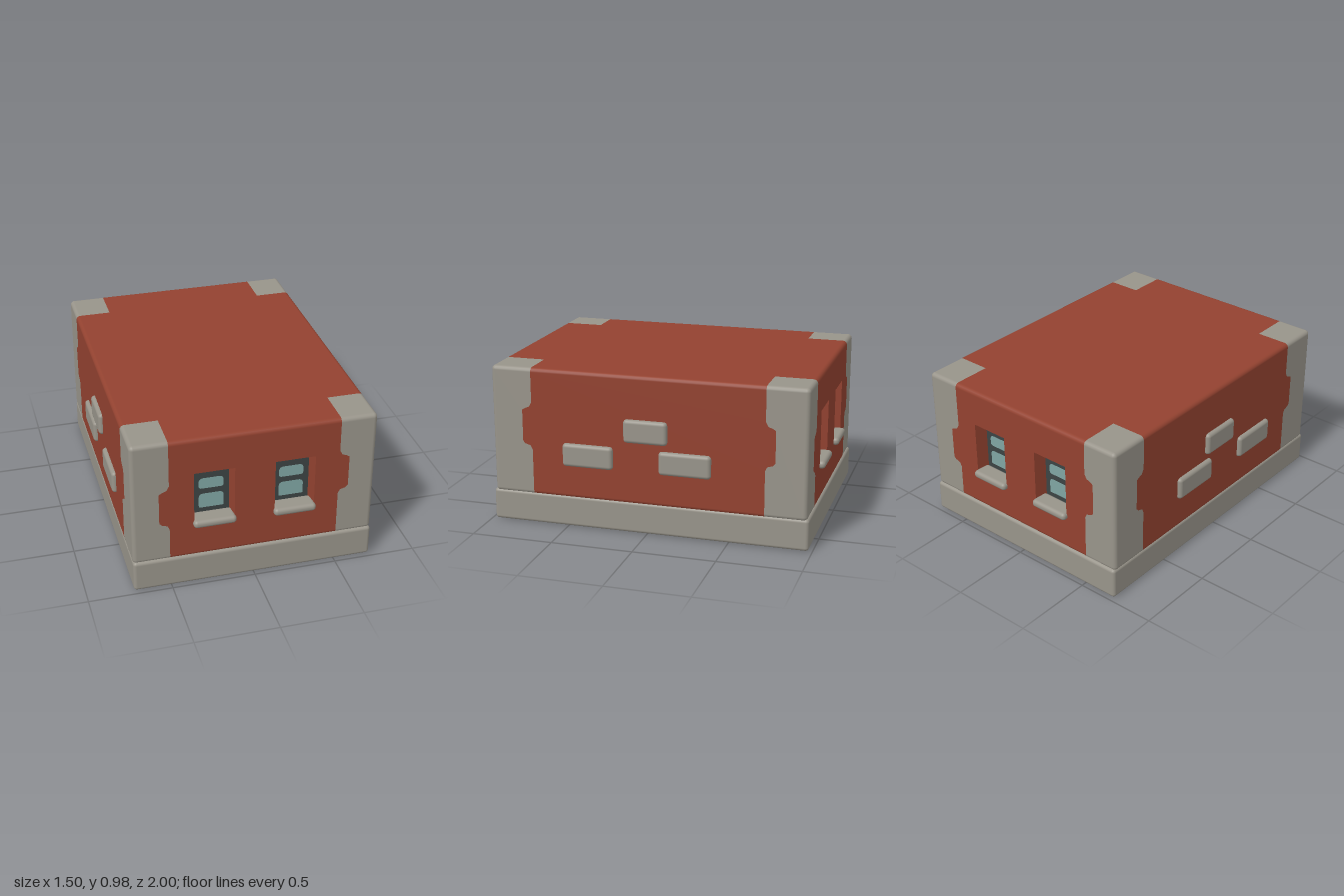
import * as THREE from 'three';
import { RoundedBoxGeometry } from 'three/addons/geometries/RoundedBoxGeometry.js';

const mat = (name, color, extra = {}) => {
  const m = new THREE.MeshStandardMaterial({ color, ...extra });
  m.name = name;
  return m;
};

// Half sizes of the walls, edge radius, and the heights between the rounded edges
const HX = 0.725, HZ = 0.967, R = 0.025, Y0 = 0.21, Y1 = 0.95;
const QX = 0.505, QZ = 0.715; // where the corner stones begin
const DEPTH = 0.08; // window recess

export function createModel() {
  const brick = mat('brick red', 0x934230);
  const stone = mat('stone grey', 0x98948a);
  const frame = mat('window frame dark', 0x3c4444);
  const glass = mat('window glass teal', 0x7fa5a3);
  const model = new THREE.Group();
  model.name = 'brickBuilding';

  const add = (parent, name, geo, material, x = 0, y = 0, z = 0) => {
    const m = new THREE.Mesh(geo, material);
    m.name = name;
    m.position.set(x, y, z);
    parent.add(m);
    return m;
  };
  const poly = pts => new THREE.Shape(pts.map(p => new THREE.Vector2(p[0], p[1])));

  // Boundary between brick and corner stone, bottom to top, with a notch at height y
  const notch = (e, y) => [[e, Y0], [e, y - 0.035], [e + 0.012, y - 0.01], [e + 0.045, y],
    [e + 0.06, y + 0.015], [e + 0.06, y + 0.21], [e + 0.045, y + 0.22],
    [e + 0.015, y + 0.232], [e, y + 0.26], [e, Y1]];

  // One wall: brick field with optional openings and a stone strip at each end
  function wall(name, half, edge, yLeft, yRight, openings) {
    const g = new THREE.Group();
    g.name = name;
    const left = notch(edge, yLeft).map(([x, y]) => [-x, y]);
    const right = notch(edge, yRight);
    const field = poly([...right, ...[...left].reverse()]);
    for (const cx of openings) {
      field.holes.push(poly([[cx - 0.12, 0.41], [cx - 0.12, 0.75], [cx + 0.12, 0.75], [cx + 0.12, 0.41]]));
    }
    const w = half - R;
    add(g, 'brickField', new THREE.ShapeGeometry(field), brick);
    add(g, 'cornerStoneRight', new THREE.ShapeGeometry(poly([...right, [w, Y1], [w, Y0]])), stone);
    add(g, 'cornerStoneLeft', new THREE.ShapeGeometry(poly([...left, [-w, Y1], [-w, Y0]])), stone);
    for (const cx of openings) g.add(windowUnit(cx));
    model.add(g);
    return g;
  }

  // Tapered recess, built from an outer and an inner rectangle
  function recess() {
    const outer = [[-0.12, 0.41], [0.12, 0.41], [0.12, 0.75], [-0.12, 0.75]];
    const inner = [[-0.107, 0.42], [0.107, 0.42], [0.107, 0.737], [-0.107, 0.737]];
    const pos = [];
    for (let i = 0; i < 4; i++) {
      const j = (i + 1) % 4;
      const a = [...outer[i], 0], b = [...outer[j], 0];
      const c = [...inner[j], -DEPTH], d = [...inner[i], -DEPTH];
      pos.push(...a, ...b, ...c, ...a, ...c, ...d);
    }
    const geo = new THREE.BufferGeometry();
    geo.setAttribute('position', new THREE.Float32BufferAttribute(pos, 3));
    geo.computeVertexNormals();
    return geo;
  }

  // Glass pane with round upper corners
  function pane(y0, y1, rBottom) {
    const s = new THREE.Shape(), w = 0.074, r = 0.028;
    s.moveTo(-w + rBottom, y0);
    s.lineTo(w - rBottom, y0);
    s.quadraticCurveTo(w, y0, w, y0 + rBottom);
    s.lineTo(w, y1 - r);
    s.quadraticCurveTo(w, y1, w - r, y1);
    s.lineTo(-w + r, y1);
    s.quadraticCurveTo(-w, y1, -w, y1 - r);
    s.lineTo(-w, y0 + rBottom);
    s.quadraticCurveTo(-w, y0, -w + rBottom, y0);
    return new THREE.ShapeGeometry(s);
  }

  function windowUnit(cx) {
    const g = new THREE.Group();
    g.name = 'window';
    g.position.x = cx;
    add(g, 'windowRecess', recess(), brick);
    add(g, 'windowFrame', new THREE.PlaneGeometry(0.214, 0.317), frame, 0, 0.5785, -DEPTH);
    add(g, 'upperPane', pane(0.59, 0.66, 0.018), glass, 0, 0, -DEPTH + 0.003);
    add(g, 'lowerPane', pane(0.46, 0.555, 0.006), glass, 0, 0, -DEPTH + 0.003);
    add(g, 'windowSill', new RoundedBoxGeometry(0.255, 0.048, 0.118, 4, 0.022), stone, 0, 0.413, -0.026);
    return g;
  }

  // Four walls
  wall('frontWall', HX, QX, 0.43, 0.505, [-0.24, 0.24]).position.z = HZ;
  const back = wall('backWall', HX, QX, 0.43, 0.505, [-0.24, 0.24]);
  back.position.z = -HZ;
  back.rotation.y = Math.PI;
  for (const s of [1, -1]) {
    const side = wall(s > 0 ? 'leftWall' : 'rightWall', HZ, QZ, 0.505, 0.505, []);
    side.position.x = s * HX;
    side.rotation.y = s * Math.PI / 2;
    // Raised stones on the side walls
    for (const [z, y, len] of [[0.362, 0.46, 0.315], [0.002, 0.64, 0.268], [-0.238, 0.46, 0.318]]) {
      add(model, 'raisedStone', new RoundedBoxGeometry(0.1, 0.142, len, 3, 0.022), stone, s * 0.7, y, z);
    }
  }

  // Rounded edges: brick in the middle, stone at the corners
  const ex = HX - R, ez = HZ - R;
  const rod = len => new THREE.CylinderGeometry(R, R, len, 16, 1, true);
  for (const y of [Y0, Y1]) {
    for (const s of [1, -1]) {
      add(model, 'brickEdge', rod(2 * QX), brick, 0, y, s * ez).rotation.z = Math.PI / 2;
      add(model, 'brickEdge', rod(2 * QZ), brick, s * ex, y, 0).rotation.x = Math.PI / 2;
      for (const t of [1, -1]) {
        add(model, 'stoneEdge', rod(ex - QX), stone, t * (ex + QX) / 2, y, s * ez).rotation.z = Math.PI / 2;
        add(model, 'stoneEdge', rod(ez - QZ), stone, s * ex, y, t * (ez + QZ) / 2).rotation.x = Math.PI / 2;
        add(model, 'stoneCorner', new THREE.SphereGeometry(R, 16, 12), stone, s * ex, y, t * ez);
      }
    }
  }
  for (const s of [1, -1]) {
    for (const t of [1, -1]) {
      add(model, 'cornerPost', rod(Y1 - Y0), stone, s * ex, (Y0 + Y1) / 2, t * ez);
      // Stone corner of the roof
      add(model, 'roofCorner', new THREE.PlaneGeometry(ex - QX, ez - QZ), stone,
        s * (ex + QX) / 2, Y1 + R, t * (ez + QZ) / 2).rotation.x = -Math.PI / 2;
    }
  }

  // Cross-shaped brick roof
  const roof = poly([[-QX, -ez], [QX, -ez], [QX, -QZ], [ex, -QZ], [ex, QZ], [QX, QZ],
    [QX, ez], [-QX, ez], [-QX, QZ], [-ex, QZ], [-ex, -QZ], [-QX, -QZ]]);
  add(model, 'roof', new THREE.ShapeGeometry(roof), brick, 0, Y1 + R, 0).rotation.x = -Math.PI / 2;

  // Stone plinth and the brick panel under it
  add(model, 'plinth', new RoundedBoxGeometry(1.45, 0.194, 1.956, 4, 0.02), stone, 0, 0.1, 0);
  add(model, 'undersidePanel', new THREE.BoxGeometry(1.25, 0.006, 1.756), brick, 0, 0.003, 0);
  return model;
}
